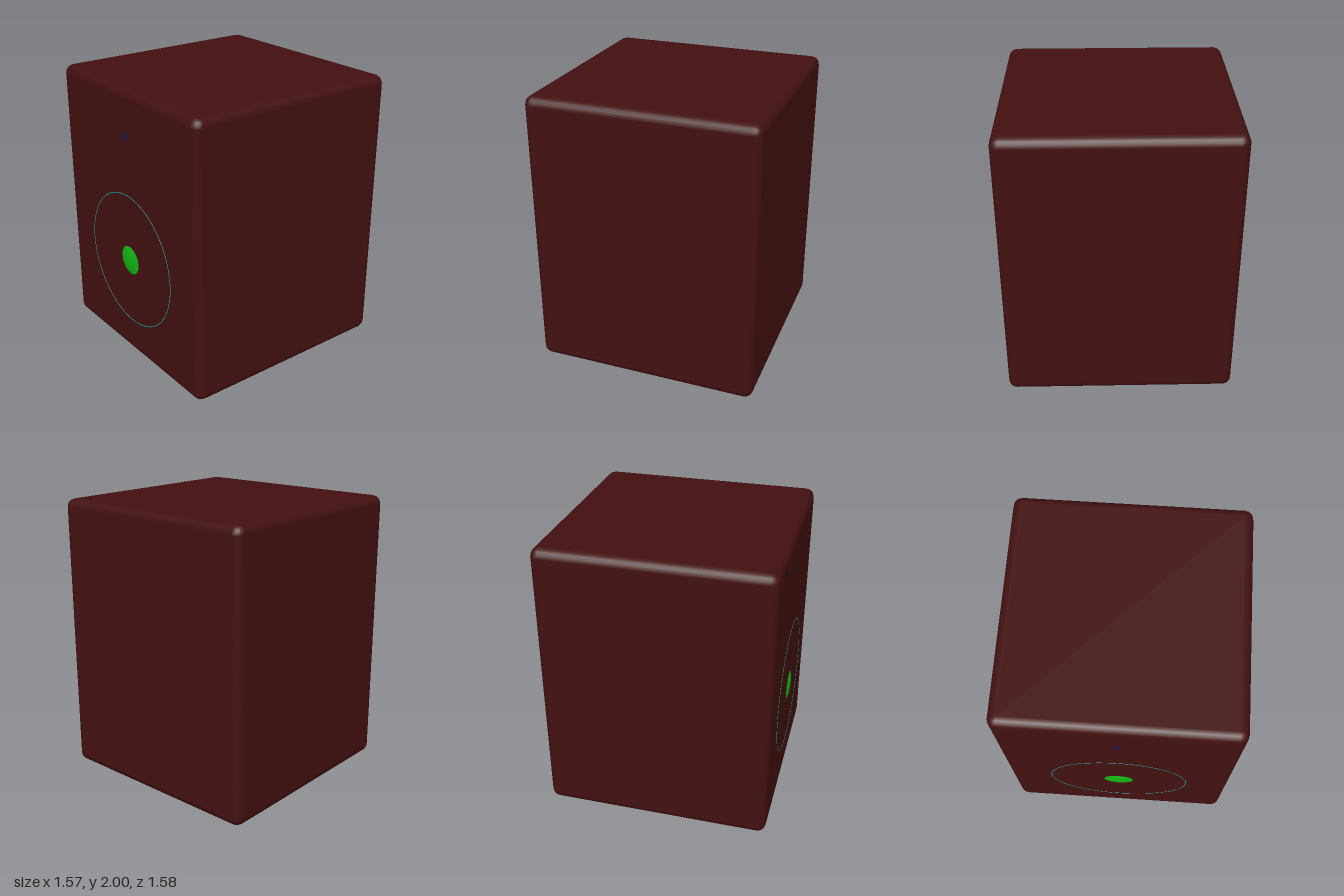
import * as THREE from 'three';
import { RoundedBoxGeometry } from 'three/addons/geometries/RoundedBoxGeometry.js';

const FRONT = 0.776;   // z of the baffle
const BACK = -0.788;
const MID = (FRONT + BACK) / 2;
const WOOFER_Y = 0.79;
const TWEETER_Y = 1.69;

const paint = (color) => new THREE.MeshStandardMaterial({ color });

function add(group, name, geometry, material, x, y, z) {
  const mesh = new THREE.Mesh(geometry, material);
  mesh.name = name;
  mesh.position.set(x, y, z);
  group.add(mesh);
  return mesh;
}

// Shallow spherical cap bulging towards +z, with its rim on z = 0
function capGeometry(rimRadius, height) {
  const r = (rimRadius * rimRadius + height * height) / (2 * height);
  const angle = Math.asin(rimRadius / r);
  return new THREE.SphereGeometry(r, 48, 8, 0, Math.PI * 2, 0, angle)
    .translate(0, height - r, 0)
    .rotateX(Math.PI / 2);
}

export function createModel() {
  const speaker = new THREE.Group();
  speaker.name = 'speaker';

  const wood = paint(0x431010);
  const rubber = paint(0x0b0b0b);
  const blue = paint(0x0b4a8c);

  // Cabinet with softened edges
  add(speaker, 'cabinet', new RoundedBoxGeometry(1.565, 1.955, FRONT - BACK, 2, 0.06),
    wood, 0, 0.045 + 1.955 / 2, MID);

  // Woofer: frame flush with the baffle, thin surround line and dust cap
  const woofer = new THREE.Group();
  woofer.name = 'woofer';
  woofer.position.set(0, WOOFER_Y, FRONT);
  speaker.add(woofer);
  add(woofer, 'wooferFrame', new THREE.TorusGeometry(0.57, 0.025, 16, 96), blue, 0, 0, -0.025);
  add(woofer, 'wooferSurround', new THREE.TorusGeometry(0.48, 0.003, 8, 96),
    paint(0x12b4b4), 0, 0, -0.001);
  add(woofer, 'dustCap', capGeometry(0.102, 0.013), paint(0x14b414), 0, 0, 0);

  // Tweeter: only the tip of its dome reaches through the baffle
  add(speaker, 'tweeterDome', capGeometry(0.03, 0.001), paint(0x14184c), 0, TWEETER_Y, FRONT);

  // Four round feet
  for (const x of [-0.47, 0.47]) {
    for (const z of [-0.477, 0.477]) {
      add(speaker, 'foot', new THREE.CylinderGeometry(0.095, 0.095, 0.06, 32),
        rubber, x, 0.03, MID + z);
    }
  }

  return speaker;
}
